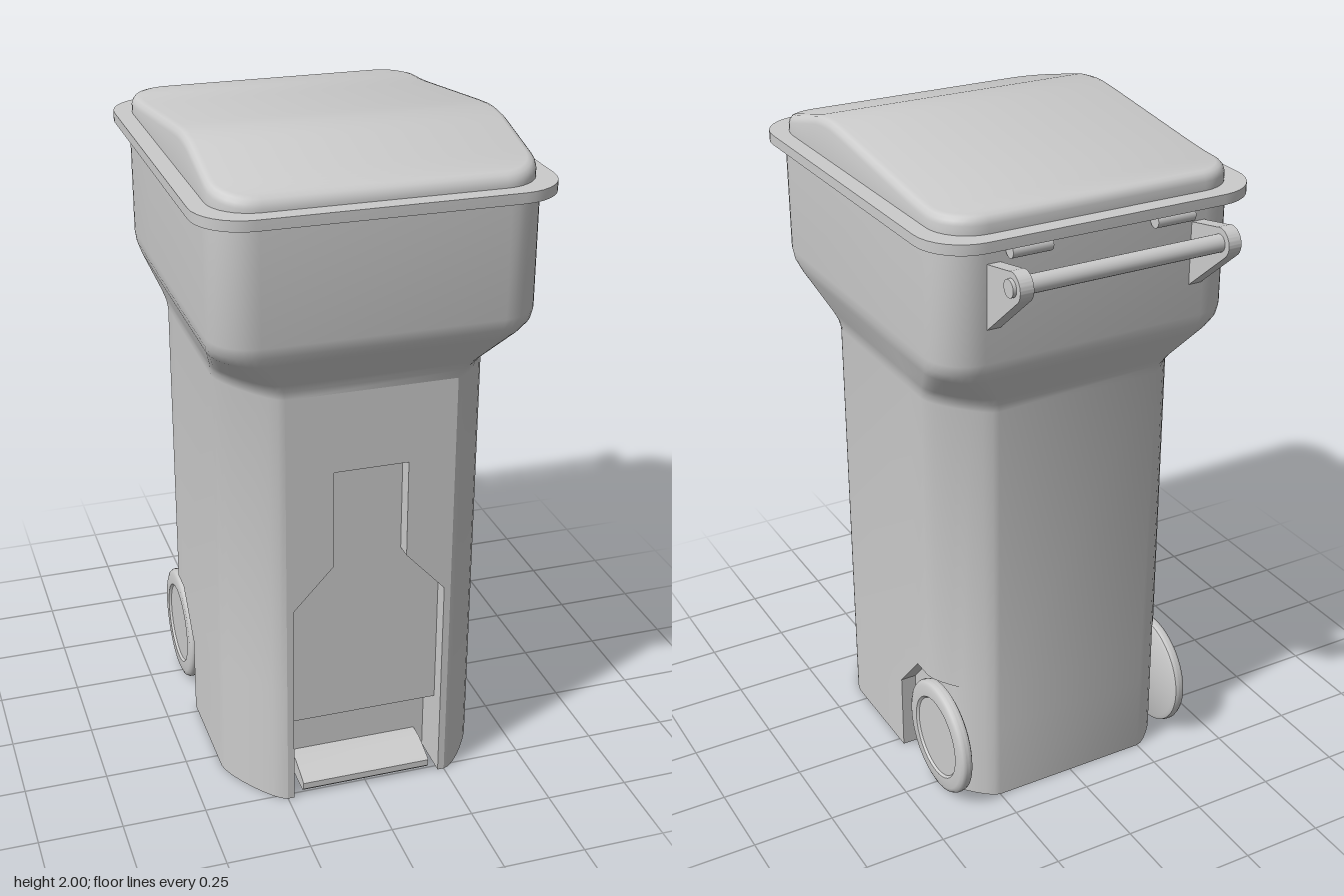
import * as THREE from 'three';
import { toCreasedNormals } from 'three/addons/utils/BufferGeometryUtils.js';

const grey = new THREE.MeshStandardMaterial({ color: 0xcccccc });
const lerp = THREE.MathUtils.lerp;

function part(group, name, geometry, x = 0, y = 0, z = 0) {
  const mesh = new THREE.Mesh(geometry, grey);
  mesh.name = name;
  mesh.position.set(x, y, z);
  group.add(mesh);
  return mesh;
}

// One corner as [x, z] points, from the first side to the second; k = 0.55 is round, less is a soft chamfer
function corner(p0, apex, p1, k, n = 8) {
  const v = (a, t) => new THREE.Vector2(lerp(a[0], apex[0], t), lerp(a[1], apex[1], t));
  const curve = new THREE.CubicBezierCurve(v(p0, 0), v(p0, k), v(p1, k), v(p1, 0));
  return curve.getPoints(n).map(p => [p.x, p.y]);
}

// +x half of a cross-section, running from front to back; `side` holds extra points on the flank
function halfSection(hx, zf, zb, cx, czf, czb, k, side = []) {
  return [
    ...corner([hx - cx, zf], [hx, zf], [hx, zf - czf], k),
    ...side,
    ...corner([hx, zb + czb], [hx, zb], [hx - cx, zb], k),
  ];
}

// Full ring from a half; height is a number or a function of z
function ring(half, height) {
  const y = z => (typeof height === 'function' ? height(z) : height);
  const right = half.map(([x, z]) => new THREE.Vector3(x, y(z), z));
  return [...right, ...right.map(p => new THREE.Vector3(-p.x, p.y, p.z)).reverse()];
}

// Skin rings from bottom to top, with optional caps made of strips across x
function loft(rings, { top = false, bottom = false, skip = () => false } = {}) {
  const out = [];
  const tri = (a, b, c) => {
    const area = b.clone().sub(a).cross(c.clone().sub(a)).length();
    if (area > 1e-9) for (const p of [a, b, c]) out.push(p.x, p.y, p.z);
  };
  const quad = (a, b, c, d) => { tri(a, b, c); tri(a, c, d); };
  const n = rings[0].length;
  for (let r = 0; r + 1 < rings.length; r++)
    for (let i = 0; i < n; i++) {
      const j = (i + 1) % n;
      if (!skip(r, i)) quad(rings[r][i], rings[r][j], rings[r + 1][j], rings[r + 1][i]);
    }
  const last = rings[rings.length - 1], first = rings[0];
  for (let i = 0; i + 1 < n / 2; i++) {
    const m = n - 1 - i;
    if (top) quad(last[i], last[i + 1], last[m - 1], last[m]);
    if (bottom) quad(first[m], first[m - 1], first[i + 1], first[i]);
  }
  const g = new THREE.BufferGeometry();
  g.setAttribute('position', new THREE.Float32BufferAttribute(out, 3));
  return toCreasedNormals(g, 0.6);
}

const shapeOf = pts => new THREE.Shape(pts.map(p => new THREE.Vector2(...p)));

// Side profile in (z, y), extruded along x about the middle
function extrudeX(shape, width) {
  const g = new THREE.ExtrudeGeometry(shape, { depth: width, bevelEnabled: false, curveSegments: 20 });
  return toCreasedNormals(g.translate(0, 0, -width / 2).rotateY(-Math.PI / 2), 0.5);
}

const rodX = (r, len, n = 24) => new THREE.CylinderGeometry(r, r, len, n).rotateZ(Math.PI / 2);

// Body section at height y; t goes from the slim lower part (0) to the wide upper part (1)
const ARCH_TOP = 0.385, ARCH_X = 0.352;
function bodyRing(y, t, arch) {
  const hx = lerp(0.4, 0.46, t);
  const step = y <= 0.25 ? -0.03 : lerp(-0.03, -0.15, Math.min(1, (y - 0.25) / (ARCH_TOP - 0.25)));
  const half = halfSection(hx, lerp(0.52, 0.62, t), lerp(-0.4, -0.49, t),
    lerp(0.15, 0.12, t), lerp(0.22, 0.12, t), lerp(0.18, 0.12, t), lerp(0.25, 0.55, t),
    [[hx, step], [hx, step]]);
  // Wheel arch: press everything behind the step inwards
  if (arch) for (let i = 10; i < half.length; i++) half[i][0] = Math.min(half[i][0], ARCH_X);
  return ring(half, y);
}

// Height of the lid along z
function lidTop(z) {
  const pts = [[-0.6, 1.935], [-0.36, 1.935], [-0.28, 1.942], [0.14, 1.993], [0.2, 1.999],
    [0.25, 2], [0.31, 1.993], [0.53, 1.936], [0.62, 1.915]];
  const i = Math.max(1, pts.findIndex(p => p[0] >= z));
  const [a, b] = [pts[i - 1], pts[i]];
  return lerp(a[1], b[1], (z - a[0]) / (b[0] - a[0]));
}

export function createModel() {
  const bin = new THREE.Group();
  bin.name = 'wheeledBin';

  // Body shell with wheel arches; the lower front is left open for the recessed panel
  const rows = [[0, 0, true], [0.25, 0, true], [ARCH_TOP, 0, true], [ARCH_TOP, 0], [1.32, 0],
    [1.345, 0.05], [1.37, 0.18], [1.46, 0.8], [1.49, 0.95], [1.52, 1], [1.86, 1]];
  const rings = rows.map(r => bodyRing(...r));
  const frontQuad = rings[0].length - 1;
  part(bin, 'body', loft(rings, { skip: (r, i) => r < 4 && i === frontQuad }));

  // Floor with the pedal notch
  const floor = shapeOf([...rings[0].map(p => [p.x, p.z]),
    [-0.23, 0.52], [-0.23, 0.38], [0.23, 0.38], [0.23, 0.52]]);
  part(bin, 'floor', new THREE.ShapeGeometry(floor).rotateX(Math.PI / 2));

  // Front wall with the bottle-shaped recess
  const cut = [[0.23, 0], [0.23, 0.65], [0.11, 0.78], [0.11, 1.08]];
  const wall = shapeOf([[0.25, 1.32], [0.25, 0], ...cut,
    ...cut.map(([x, y]) => [-x, y]).reverse(), [-0.25, 0], [-0.25, 1.32]]);
  part(bin, 'frontWall', new THREE.ExtrudeGeometry(wall, { depth: 0.14, bevelEnabled: false }), 0, 0, 0.38);
  part(bin, 'recessPanel', new THREE.BoxGeometry(0.47, 0.86, 0.09), 0, 0.67, 0.425);
  part(bin, 'pedalNiche', new THREE.BoxGeometry(0.47, 0.26, 0.02), 0, 0.13, 0.37);

  // Foot pedal
  part(bin, 'pedal', extrudeX(shapeOf([[0.37, 0.01], [0.505, 0.01], [0.515, 0.02], [0.515, 0.04],
    [0.505, 0.047], [0.43, 0.07], [0.37, 0.07]]), 0.4));

  // Rim flange
  const rim = halfSection(0.5, 0.66, -0.545, 0.14, 0.14, 0.14, 0.55);
  part(bin, 'rim', loft([ring(rim, 1.855), ring(rim, 1.885)], { top: true, bottom: true }));

  // Domed lid with a rounded edge
  const lidRing = (inset, height) => {
    const side = [];
    for (let i = 1; i < 24; i++) side.push([0.45 - inset, lerp(0.49, -0.375, i / 24)]);
    return ring(halfSection(0.45 - inset, 0.61 - inset, -0.495 + inset,
      0.12 - inset, 0.12 - inset, 0.12 - inset, 0.55, side), height);
  };
  part(bin, 'lid', loft([
    lidRing(0, 1.88), lidRing(0, z => lidTop(z) - 0.025), lidRing(0.004, z => lidTop(z) - 0.013),
    lidRing(0.012, z => lidTop(z) - 0.004), lidRing(0.025, lidTop)], { top: true }));

  // Handle brackets, hinge pins and wheels on both sides
  const bracket = new THREE.Shape();
  bracket.moveTo(-0.48, 1.61);
  bracket.lineTo(-0.48, 1.8);
  bracket.lineTo(-0.605, 1.825);
  bracket.absarc(-0.62, 1.785, 0.043, 1.2, 3.95, false);
  const wheelProfile = [[0, -0.02], [0.165, -0.02], [0.177, -0.014], [0.18, -0.004], [0.18, 0.006],
    [0.175, 0.015], [0.163, 0.02], [0.13, 0.02], [0.124, 0.013], [0, 0.013]];
  for (const s of [1, -1]) {
    const side = s > 0 ? 'left' : 'right';
    part(bin, side + 'HandleBracket', extrudeX(bracket, 0.04), s * 0.315);
    part(bin, side + 'HingePin', rodX(0.02, 0.12), s * 0.22, 1.835, -0.51);
    const wheel = new THREE.LatheGeometry(wheelProfile.map(p => new THREE.Vector2(...p)), 48);
    part(bin, side + 'Wheel', toCreasedNormals(wheel.rotateZ(-s * Math.PI / 2), 0.7), s * 0.38, 0.18, -0.26);
  }
  part(bin, 'handleBar', rodX(0.025, 0.69), 0, 1.785, -0.62);
  part(bin, 'axle', rodX(0.022, 0.76), 0, 0.18, -0.26);

  return bin;
}
